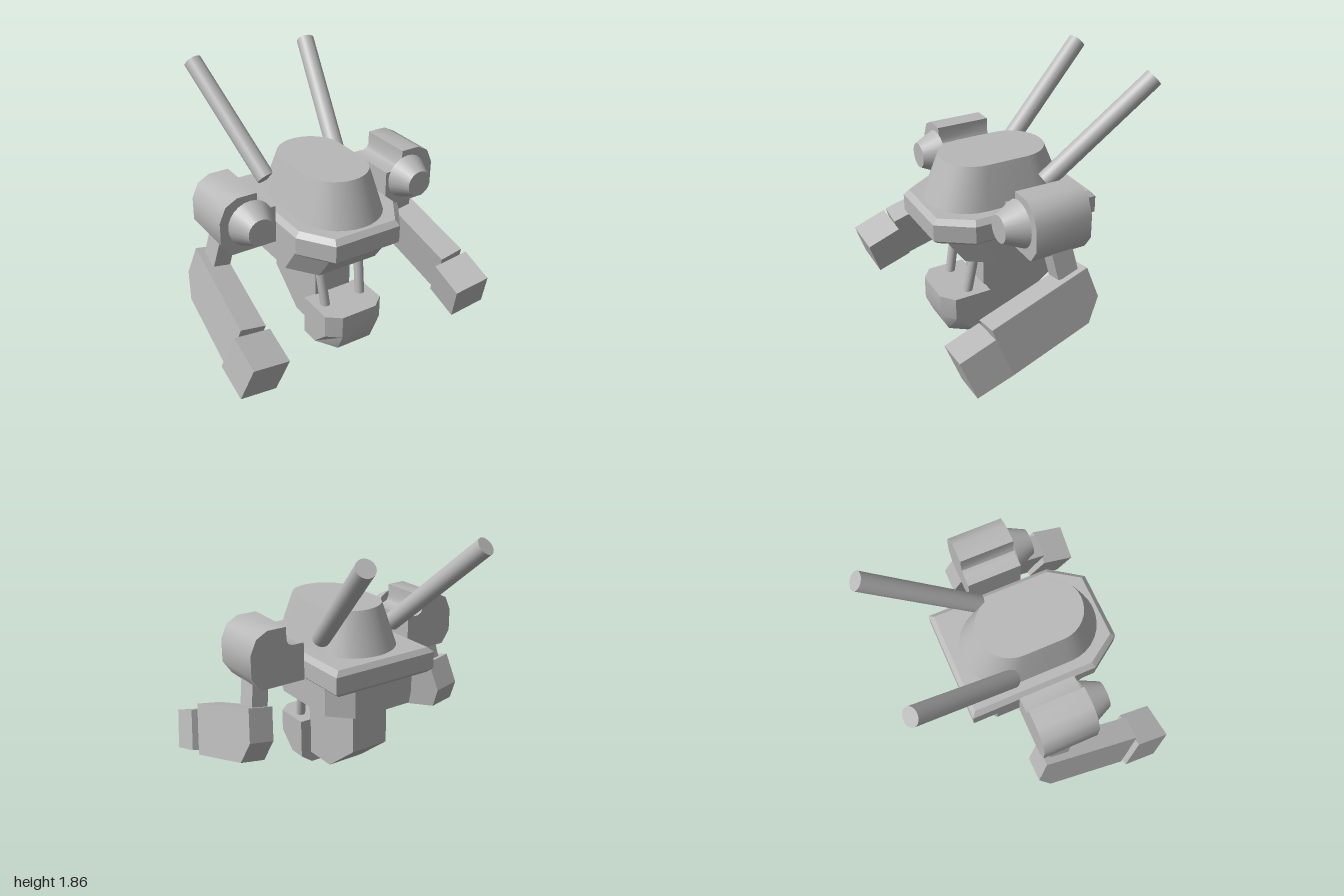
import * as THREE from 'three';
import { toCreasedNormals } from 'three/addons/utils/BufferGeometryUtils.js';

const grey = new THREE.MeshStandardMaterial({ color: 0xb8b8b8 });
grey.name = 'light grey';

function add(parent, name, geometry) {
  const mesh = new THREE.Mesh(geometry, grey);
  mesh.name = name;
  parent.add(mesh);
  return mesh;
}

// Closed ring at height y from the right half of a plan, listed front to back as [x, z]
function ring(y, half) {
  const right = half.map(([x, z]) => [x, y, z]);
  const left = half.map(([x, z]) => [-x, y, z]).reverse();
  return [...right, ...left];
}

// Solid skinned through rings from bottom to top
function loft(rings, crease = 0.5) {
  const n = rings[0].length, pos = [];
  const tri = (a, b, c) => pos.push(...a, ...b, ...c);
  for (let r = 0; r < rings.length - 1; r++) {
    const a = rings[r], b = rings[r + 1];
    for (let i = 0; i < n; i++) {
      const j = (i + 1) % n;
      tri(a[i], a[j], b[j]);
      tri(a[i], b[j], b[i]);
    }
  }
  const low = rings[0], top = rings[rings.length - 1];
  for (let i = 1; i < n - 1; i++) {
    tri(low[0], low[i + 1], low[i]);
    tri(top[0], top[i], top[i + 1]);
  }
  const geo = new THREE.BufferGeometry();
  geo.setAttribute('position', new THREE.Float32BufferAttribute(pos, 3));
  geo.computeVertexNormals();
  return toCreasedNormals(geo, crease);
}

const shapeOf = (pts) => new THREE.Shape(pts.map(([x, y]) => new THREE.Vector2(x, y)));

// Side profile given as [z, y], extruded across x and centred
function sidePlate(pts, width) {
  const geo = new THREE.ExtrudeGeometry(shapeOf(pts), { depth: width, bevelEnabled: false });
  return geo.rotateY(-Math.PI / 2).translate(width / 2, 0, 0);
}

// Round bar between two points
function bar(parent, name, from, to, radius) {
  const a = new THREE.Vector3(...from), b = new THREE.Vector3(...to);
  const dir = b.clone().sub(a);
  const mesh = add(parent, name, new THREE.CylinderGeometry(radius, radius, dir.length(), 24));
  mesh.position.copy(a).add(b).multiplyScalar(0.5);
  mesh.quaternion.setFromUnitVectors(new THREE.Vector3(0, 1, 0), dir.normalize());
}

// Right half of a stadium plan, front to back
function stadium(radius, zFront, zBack) {
  const pts = [], steps = 8;
  for (let i = 0; i <= steps * 2 + 1; i++) {
    const front = i <= steps;
    const t = (front ? i : i - 1) / (steps * 2) * Math.PI;
    pts.push([radius * Math.sin(t), (front ? zFront : zBack) + radius * Math.cos(t)]);
  }
  return pts;
}

function addArm(model, s) {
  const arm = new THREE.Group();
  arm.name = s > 0 ? 'leftArm' : 'rightArm';
  model.add(arm);

  // Shoulder pod with a grooved inner top corner
  const pod = [[0.445, 0.89], [0.78, 0.89], [0.845, 0.985], [0.845, 1.145], [0.8, 1.245], [0.717, 1.29],
    [0.577, 1.29], [0.577, 1.2], [0.565, 1.17], [0.535, 1.155], [0.445, 1.155]].map(([x, y]) => [x * s, y]);
  const podGeo = new THREE.ExtrudeGeometry(shapeOf(pod), { depth: 0.4, bevelEnabled: false });
  add(arm, 'shoulderPod', toCreasedNormals(podGeo.translate(0, 0, -0.112), 0.7));

  // Tapered nozzle at the front of the pod
  const nozzle = add(arm, 'nozzle', new THREE.CylinderGeometry(0.093, 0.162, 0.145, 24).rotateX(Math.PI / 2));
  nozzle.position.set(0.627 * s, 1.085, 0.36);

  // Splayed lower arm
  const lower = new THREE.Group();
  lower.name = 'lowerArm';
  lower.position.set(0.773 * s, 0.76, 0);
  lower.rotation.z = 0.18 * s;
  arm.add(lower);
  const link = add(lower, 'elbowLink',
    sidePlate([[0.15, 0.2], [-0.005, 0.2], [-0.05, -0.05], [0.105, -0.05]], 0.12));
  link.position.x = -0.02 * s;
  add(lower, 'forearm',
    sidePlate([[-0.084, 0], [-0.153, -0.22], [-0.07, -0.39], [0.52, -0.575], [0.625, -0.22]], 0.18));

  // Block hand, turned slightly inward
  const hand = add(lower, 'hand',
    sidePlate([[0.304, -0.355], [0.057, -0.265], [-0.04, -0.54], [0.215, -0.622]], 0.27));
  hand.position.z = 0.56;
  hand.rotation.y = -0.07 * s;
}

export function createModel() {
  const model = new THREE.Group();
  model.name = 'walkerRobot';

  // Hull plate with bevelled rims
  const wide = [[0.25, 0.71], [0.41, 0.48], [0.41, -0.44]];
  const inset = [[0.235, 0.675], [0.375, 0.465], [0.375, -0.41]];
  add(model, 'hullPlate', loft([ring(0.85, inset), ring(0.88, wide), ring(1.0, wide), ring(1.035, inset)], 0.3));

  // Domed cabin
  add(model, 'cabin', loft([ring(1.03, stadium(0.31, 0.34, -0.04)), ring(1.33, stadium(0.235, 0.295, 0.008))]));

  // Lower hull
  const lowerHull = (shift) => [[0.23, 0.62 - shift], [0.375, 0.42 - shift], [0.375, -0.25], [0.23, -0.4]];
  add(model, 'lowerHull', loft([ring(0.65, lowerHull(0.14)), ring(0.85, lowerHull(0))], 0.3));

  // Keel hanging below the hull
  add(model, 'keel',
    sidePlate([[0.3, 0.66], [0.3, 0.08], [0.04, 0.08], [-0.255, 0.31], [-0.255, 0.66]], 0.29));

  // Rounded block in front of the keel
  const block = [[0.135, 0.635], [0.23, 0.56], [0.23, 0.29]];
  add(model, 'chinBlock', loft([
    ring(0, [[0.135, 0.435], [0.14, 0.42], [0.14, 0.29]]),
    ring(0.065, [[0.135, 0.58], [0.23, 0.425], [0.23, 0.29]]),
    ring(0.19, block), ring(0.355, block)]));

  for (const s of [1, -1]) {
    bar(model, 'supportRod', [0.145 * s, 0.34, 0.43], [0.162 * s, 0.67, 0.37], 0.034);
    bar(model, 'rearPole', [0.298 * s, 1.15, -0.1], [0.468 * s, 1.812, -0.82], 0.065);
    addArm(model, s);
  }
  return model;
}
